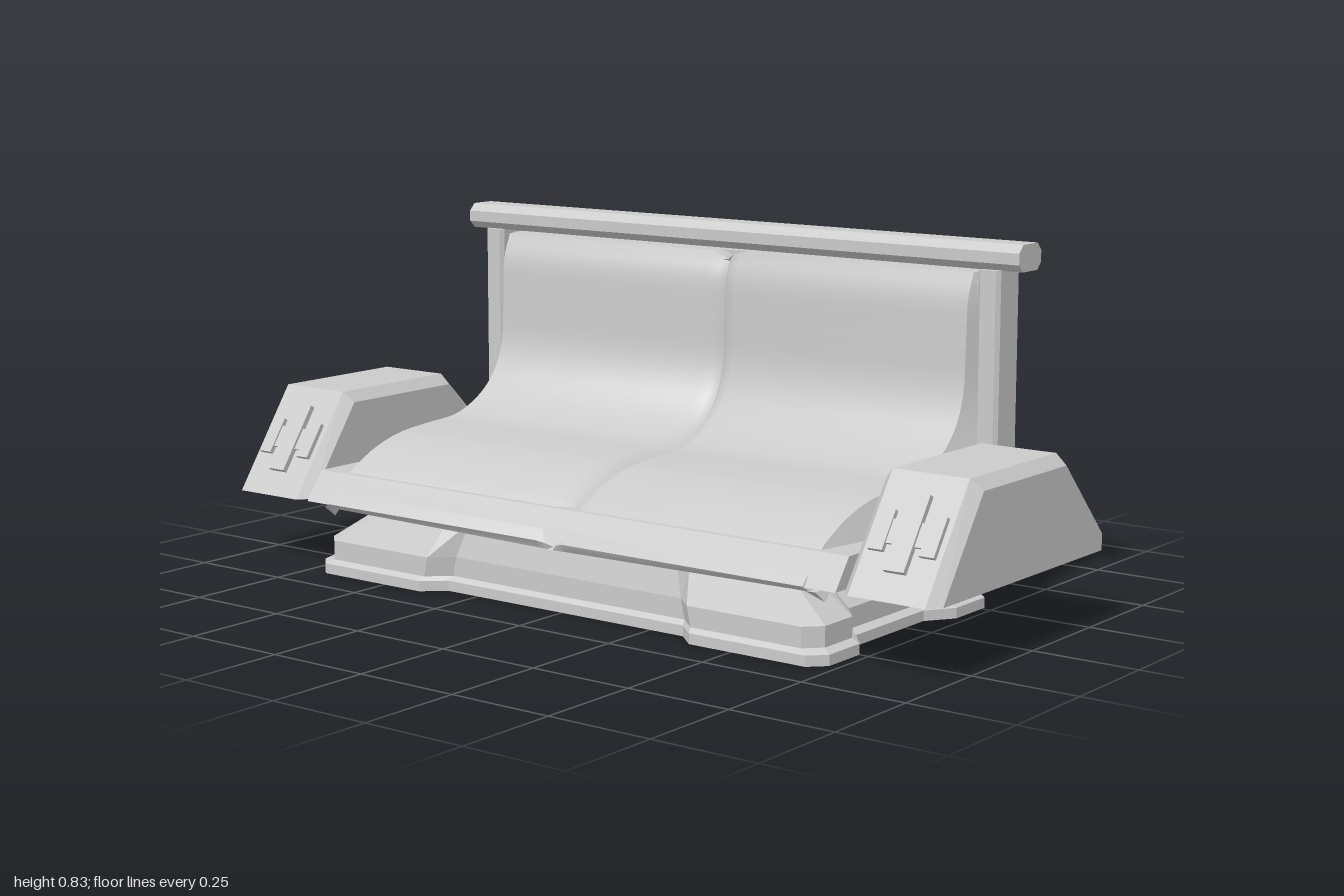
import * as THREE from 'three';
import { toCreasedNormals } from 'three/addons/utils/BufferGeometryUtils.js';

const flat = new THREE.MeshStandardMaterial({ color: 0xcccccc, flatShading: true });
const flatOpen = new THREE.MeshStandardMaterial({ color: 0xcccccc, flatShading: true, side: THREE.DoubleSide });
const smooth = new THREE.MeshStandardMaterial({ color: 0xcccccc, side: THREE.DoubleSide });

function mesh(name, geometry, material = flat) {
  const m = new THREE.Mesh(geometry, material);
  m.name = name;
  return m;
}

// Joins equal-length rings of [x, y, z] points, with fan caps on the ends
function loft(rings, capStart = true, capEnd = true) {
  const pos = [];
  const tri = (a, b, c) => pos.push(...a, ...b, ...c);
  const n = rings[0].length;
  for (let r = 0; r < rings.length - 1; r++) {
    const a = rings[r], b = rings[r + 1];
    for (let i = 0; i < n; i++) {
      const j = (i + 1) % n;
      tri(a[i], a[j], b[j]);
      tri(a[i], b[j], b[i]);
    }
  }
  const cap = (ring, flip) => {
    const c = [0, 1, 2].map(k => ring.reduce((s, p) => s + p[k], 0) / n);
    ring.forEach((p, i) => {
      const q = ring[(i + 1) % n];
      flip ? tri(c, q, p) : tri(c, p, q);
    });
  };
  if (capStart) cap(rings[0], true);
  if (capEnd) cap(rings[rings.length - 1], false);
  const g = new THREE.BufferGeometry();
  g.setAttribute('position', new THREE.Float32BufferAttribute(pos, 3));
  g.computeVertexNormals();
  return g;
}

// A side outline of [z, y] points, listed front, top, back, placed at x
const sideRing = (outline, x) => outline.map(([z, y]) => [x, y, z]).reverse();
const prism = (outline, x0, x1) => loft([sideRing(outline, x0), sideRing(outline, x1)]);

// One level of the plinth: chamfered corners and a recess in each side
function plinthRing(y, X, zf, zb, d, s) {
  const c = 0.036;
  const half = [
    [s, zf - d], [s + 0.05, zf], [X - c, zf], [X, zf - c],
    [X, 0.25], [X - d, 0.195], [X - d, -0.075], [X, -0.14],
    [X, zb + c], [X - c, zb], [s + 0.05, zb], [s, zb + d],
  ];
  const other = half.map(([x, z]) => [-x, z]).reverse();
  return [...half, ...other].map(([x, z]) => [x, y, z]);
}

// Curved seat and back in one sweep, split by a soft seam in the middle
function cushionGeometry() {
  const curve = new THREE.CatmullRomCurve3([
    [0.315, 0.242], [0.24, 0.28], [0.15, 0.306], [0.05, 0.316], [-0.06, 0.325],
    [-0.15, 0.365], [-0.205, 0.42], [-0.233, 0.49], [-0.24, 0.6], [-0.246, 0.7], [-0.268, 0.757],
  ].map(([z, y]) => new THREE.Vector3(0, y, z)));
  const lip = [[0.32, 0.162], [0.385, 0.157], [0.396, 0.168]].map(([z, y]) => new THREE.Vector3(0, y, z));
  const rows = [...lip, ...curve.getPoints(36), new THREE.Vector3(0, 0.758, -0.32)];
  // Columns: x and depth below the surface
  const columns = [
    [-0.705, 0.06], [-0.678, 0], [-0.04, 0], [-0.015, 0.008], [0, 0.02],
    [0.015, 0.008], [0.04, 0], [0.678, 0], [0.705, 0.06],
  ];
  const pos = [], index = [], w = columns.length;
  rows.forEach((p, r) => {
    const t = rows[Math.min(r + 1, rows.length - 1)].clone().sub(rows[Math.max(r - 1, 0)]).normalize();
    // The lip hangs slightly lower at the seam
    const lipRow = r < 2;
    columns.forEach(([x, depth]) => {
      const drop = lipRow ? Math.max(0, 0.008 - Math.abs(x) * 0.02) : 0;
      const d = lipRow ? 0 : depth;
      pos.push(x, p.y + t.z * d - drop, p.z - t.y * d);
    });
    if (r === 0) return;
    for (let i = 0; i < w - 1; i++) {
      const a = (r - 1) * w + i, b = r * w + i;
      index.push(a, a + 1, b + 1, a, b + 1, b);
    }
  });
  const g = new THREE.BufferGeometry();
  g.setAttribute('position', new THREE.Float32BufferAttribute(pos, 3));
  g.setIndex(index);
  return toCreasedNormals(g, 0.6);
}

// Armrest with bevelled sides and raised plates on its sloping front
function createArmrest() {
  const arm = new THREE.Group();
  const inner = [[0.395, 0.165], [0.23, 0.405], [-0.125, 0.405], [-0.295, 0.237], [-0.295, 0.165]];
  const outer = [[0.365, 0.165], [0.215, 0.38], [-0.127, 0.38], [-0.295, 0.203], [-0.295, 0.165]];
  arm.add(mesh('armrestBody', loft([
    sideRing(outer, -0.1175), sideRing(inner, -0.093), sideRing(inner, 0.093), sideRing(outer, 0.1175),
  ])));
  const plates = new THREE.Group();
  plates.name = 'frontPlates';
  plates.position.set(0, 0.29, 0.309);
  plates.rotation.x = -Math.atan2(0.165, 0.24);
  const plate = (name, x, width, height, depth) => {
    const p = mesh(name, new THREE.BoxGeometry(width, height, depth));
    p.position.x = x;
    plates.add(p);
  };
  plate('centrePlate', 0, 0.05, 0.176, 0.026);
  plate('crossPlate', 0, 0.09, 0.055, 0.014);
  for (const side of [-1, 1]) plate('sidePlate', side * 0.062, 0.036, 0.092, 0.022);
  arm.add(plates);
  return arm;
}

export function createModel() {
  const model = new THREE.Group();
  model.name = 'bench';

  // Plinth, hollow underneath
  model.add(mesh('plinth', loft([
    plinthRing(0, 0.727, 0.4, -0.298, 0.045, 0.34),
    plinthRing(0.024, 0.727, 0.4, -0.298, 0.045, 0.34),
    plinthRing(0.034, 0.708, 0.388, -0.286, 0.045, 0.335),
    plinthRing(0.08, 0.708, 0.388, -0.286, 0.045, 0.325),
    plinthRing(0.16, 0.59, 0.345, -0.245, 0.02, 0.3),
  ], false, true), flatOpen));

  // Seat slab, cushion and back panel
  model.add(mesh('seatSlab', prism(
    [[0.39, 0.165], [0.34, 0.233], [-0.383, 0.233], [-0.398, 0.165]], -0.757, 0.757)));
  model.add(mesh('cushion', cushionGeometry(), smooth));
  model.add(mesh('backPanel', prism(
    [[-0.3, 0.17], [-0.3, 0.757], [-0.356, 0.757], [-0.399, 0.17]], -0.69, 0.69)));

  // Top rail with an octagonal section
  model.add(mesh('topRail', prism([
    [-0.255, 0.782], [-0.255, 0.808], [-0.272, 0.826], [-0.335, 0.826],
    [-0.351, 0.808], [-0.351, 0.782], [-0.335, 0.765], [-0.272, 0.765],
  ], -0.8, 0.8)));

  for (const side of [-1, 1]) {
    // Back post with chamfered edges
    const x = side * 0.722;
    const post = [
      [-0.02, -0.255], [0.02, -0.255], [0.028, -0.265], [0.028, -0.341],
      [0.02, -0.352], [-0.02, -0.352], [-0.028, -0.341], [-0.028, -0.265],
    ];
    model.add(mesh('backPost', loft([0.23, 0.766].map(y => post.map(([px, z]) => [x + px, y, z])))));

    const arm = createArmrest();
    arm.name = side > 0 ? 'leftArmrest' : 'rightArmrest';
    arm.position.x = side * 0.8825;
    model.add(arm);
  }
  return model;
}
